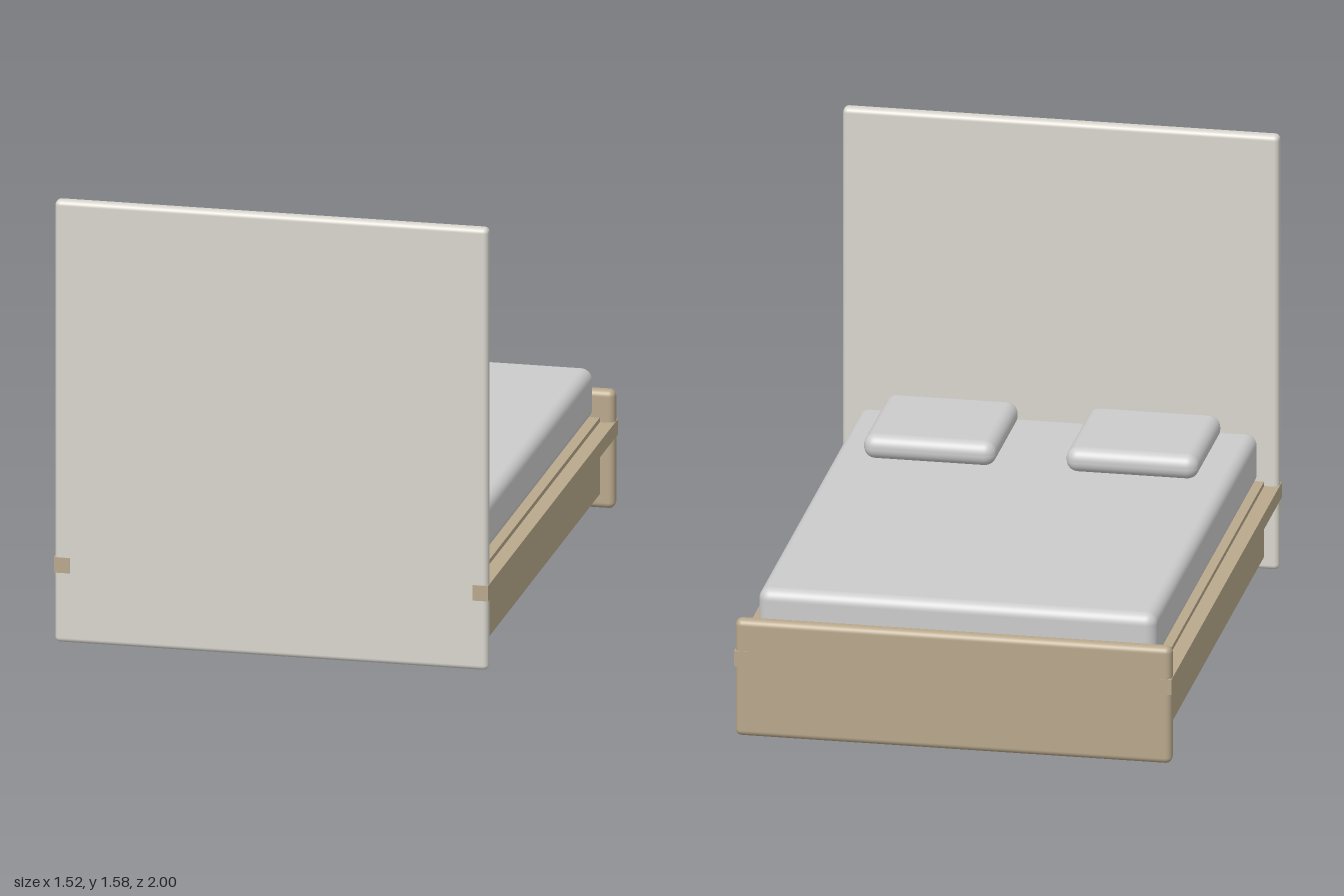
import * as THREE from 'three';
import { RoundedBoxGeometry } from 'three/addons/geometries/RoundedBoxGeometry.js';

const wood = new THREE.MeshStandardMaterial({ color: 0xb8a88c });
const fabric = new THREE.MeshStandardMaterial({ color: 0xd9d6ce });
const linen = new THREE.MeshStandardMaterial({ color: 0xdcdcd8 });

// Box given by its minimum and maximum corners, with optional rounded edges
function block(name, material, min, max, radius = 0) {
  const size = max.map((v, i) => v - min[i]);
  const geometry = radius
    ? new RoundedBoxGeometry(...size, 5, radius)
    : new THREE.BoxGeometry(...size);
  const mesh = new THREE.Mesh(geometry, material);
  mesh.position.set(...max.map((v, i) => (v + min[i]) / 2));
  mesh.name = name;
  return mesh;
}

export function createModel() {
  const bed = new THREE.Group();
  bed.name = 'bed';

  // End panels
  bed.add(block('headboard', fabric, [-0.758, 0.005, 0.949], [0.758, 1.582, 0.998], 0.018));
  bed.add(block('footboard', wood, [-0.758, 0, -0.998], [0.758, 0.422, -0.945], 0.022));

  // Closed base under the mattress
  bed.add(block('base', wood, [-0.708, 0.053, -0.95], [0.708, 0.326, 0.95]));

  // Mattress
  bed.add(block('mattress', linen, [-0.692, 0.33, -0.932], [0.692, 0.513, 0.932], 0.04));

  // Side rails and pillows, mirrored
  for (const [side, s] of [['left', 1], ['right', -1]]) {
    const rail = block(side + 'Rail', wood, [0.706, 0.255, -1], [0.76, 0.31, 1]);
    const pillow = block(side + 'Pillow', linen, [0.122, 0.516, 0.388], [0.582, 0.604, 0.848], 0.041);
    rail.position.x *= s;
    pillow.position.x *= s;
    bed.add(rail, pillow);
  }
  return bed;
}
